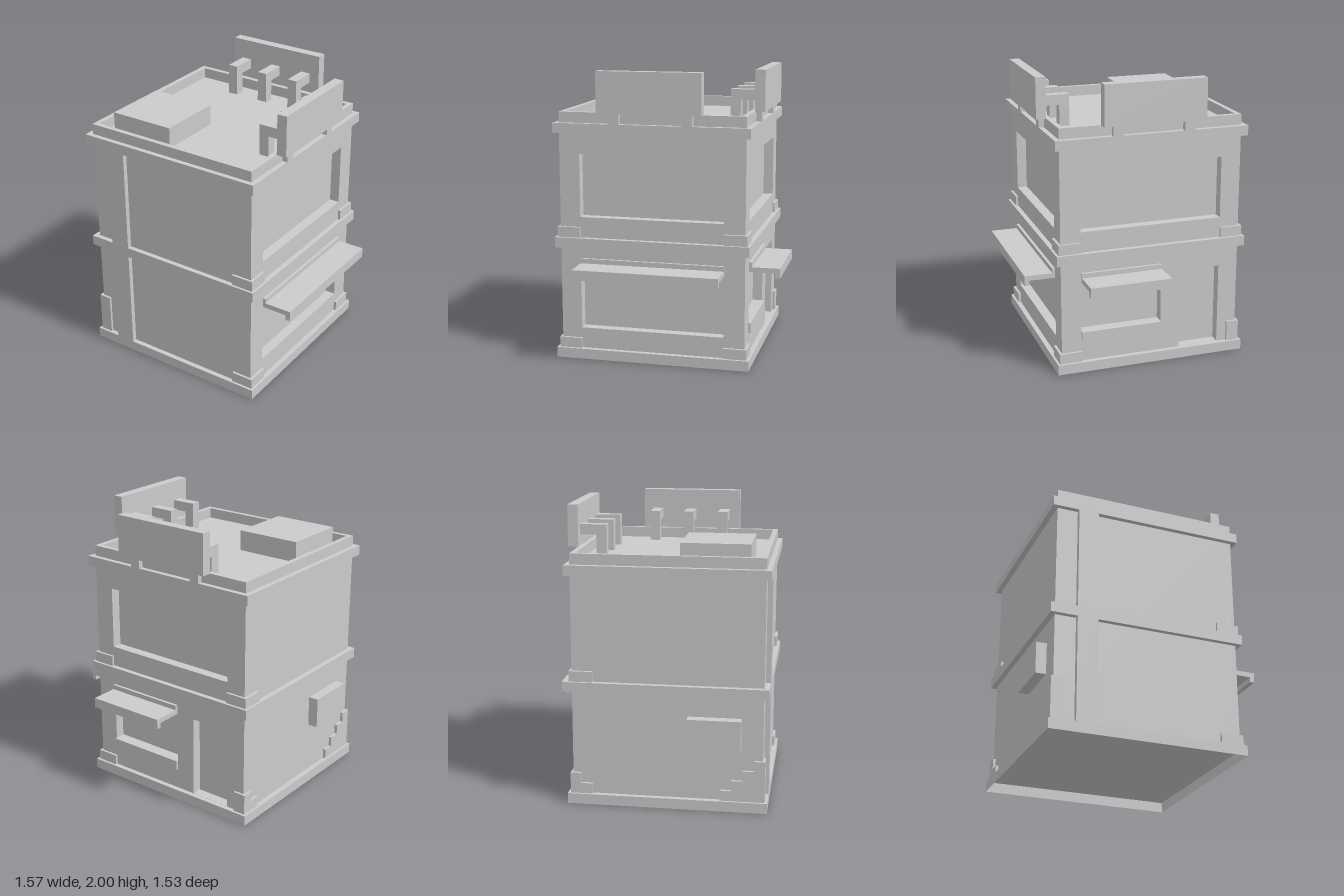
import * as THREE from 'three';

const material = new THREE.MeshStandardMaterial({ color: 0xcccccc, flatShading: true });
const openMaterial = new THREE.MeshStandardMaterial({ color: 0xcccccc, flatShading: true, side: THREE.DoubleSide });

function addMesh(parent, name, geometry) {
  const mesh = new THREE.Mesh(geometry, material);
  mesh.name = name;
  parent.add(mesh);
  return mesh;
}

// Box given by its minimum and maximum along each axis
function addBox(parent, name, x0, x1, y0, y1, z0, z1) {
  const mesh = addMesh(parent, name, new THREE.BoxGeometry(x1 - x0, y1 - y0, z1 - z0));
  mesh.position.set((x0 + x1) / 2, (y0 + y1) / 2, (z0 + z1) / 2);
  return mesh;
}

const rect = (Type, x0, x1, y0, y1) => new Type([
  new THREE.Vector2(x0, y0), new THREE.Vector2(x1, y0),
  new THREE.Vector2(x1, y1), new THREE.Vector2(x0, y1),
]);

// Rectangular plate with rectangular holes, extruded along z
function plate(outline, holes, depth) {
  const shape = rect(THREE.Shape, ...outline);
  shape.holes = holes.map((h) => rect(THREE.Path, ...h));
  return new THREE.ExtrudeGeometry(shape, { depth, bevelEnabled: false });
}

// Awning: local +x points away from the wall, length runs along z
function addAwning(parent, name, length) {
  const points = [[0, 0.645], [0.18, 0.645], [0.18, 0.61], [0.213, 0.61],
    [0.213, 0.68], [0.02, 0.68], [0.02, 0.713], [0, 0.713]];
  const shape = new THREE.Shape(points.map((p) => new THREE.Vector2(...p)));
  return addMesh(parent, name, new THREE.ExtrudeGeometry(shape, { depth: length, bevelEnabled: false }));
}

// Blank sign board with roof brackets: local +x points outward, z runs along the wall
function makeSign(name) {
  const sign = new THREE.Group();
  sign.name = name;
  addBox(sign, 'signBoard', 0, 0.07, 1.718, 2, 0, 0.715);
  [0.07, 0.32, 0.57].forEach((z, i) => {
    addBox(sign, 'signArm', -0.18, 0, 1.79, 1.86, z, z + 0.07);
    addBox(sign, 'signPost', -0.18, -0.11, 1.64, 1.79, z, z + 0.07);
    if (i !== 1) addBox(sign, 'signSupport', -0.01, 0.035, 1.645, 1.718, z, z + 0.07);
  });
  return sign;
}

export function createModel() {
  const model = new THREE.Group();
  model.name = 'cornerBuilding';

  // Solid core, with thick pierced walls on the two street sides
  addBox(model, 'wallCore', -0.713, 0.5, 0.07, 1.61, -0.483, 0.733);
  const rightWall = addMesh(model, 'rightWall', plate([-0.733, 0.483, 0.07, 1.61], [
    [-0.592, 0.408, 1.0, 1.433],
    [-0.592, 0.408, 0.215, 0.645],
  ], 0.07));
  rightWall.rotation.y = Math.PI / 2;
  rightWall.position.x = 0.5;
  const backWall = addMesh(model, 'backWall', plate([-0.57, 0.713, 0.07, 1.61], [
    [-0.428, 0.575, 1.0, 1.433],
    [-0.428, 0.145, 0.285, 0.645],
    [0.285, 0.575, 0.072, 0.645],
  ], 0.07));
  backWall.rotation.y = Math.PI;
  backWall.position.z = -0.483;

  // Base band is a hollow tray, open underneath: drop the box's bottom face
  const base = addBox(model, 'baseBand', -0.75, 0.605, 0, 0.071, -0.588, 0.767);
  const faces = Array.from(base.geometry.index.array);
  faces.splice(18, 6);
  base.geometry.setIndex(faces);
  base.material = openMaterial;

  // Upper bands and the front pilaster
  addBox(model, 'middleBand', -0.75, 0.605, 0.787, 0.858, -0.588, 0.767);
  addBox(model, 'topBand', -0.75, 0.605, 1.576, 1.645, -0.588, 0.767);
  addBox(model, 'pilaster', -0.57, -0.43, 0.071, 0.787, 0.73, 0.767);
  addBox(model, 'pilaster', -0.57, -0.43, 0.858, 1.576, 0.73, 0.767);

  // Roof parapet and roof box
  const parapet = addMesh(model, 'parapet',
    plate([-0.713, 0.57, -0.733, 0.553], [[-0.678, 0.535, -0.698, 0.518]], 0.076));
  parapet.rotation.x = -Math.PI / 2;
  parapet.position.y = 1.642;
  addBox(model, 'roofBox', -0.61, -0.145, 1.64, 1.788, 0.16, 0.624);

  // Corner blocks above the bands
  for (const y of [0.071, 0.858]) {
    const top = y + 0.072;
    addBox(model, 'cornerBlock', 0.43, 0.588, y, top, 0.73, 0.75);
    addBox(model, 'cornerBlock', 0.565, 0.588, y, top, 0.592, 0.73);
    addBox(model, 'cornerBlock', 0.43, 0.588, y, top, -0.57, -0.55);
    addBox(model, 'cornerBlock', 0.565, 0.588, y, top, -0.55, -0.41);
  }
  addBox(model, 'cornerBlock', -0.733, -0.575, 0.858, 0.93, -0.57, -0.55);
  addBox(model, 'cornerBlock', -0.733, -0.71, 0.858, 0.93, -0.55, -0.41);

  // Stepped corner blocks on the left side
  addBox(model, 'frontCornerPlate', -0.733, -0.645, 0.071, 0.357, 0.73, 0.75);
  for (let i = 0; i < 4; i++) {
    const z1 = i === 0 ? 0.73 : 0.75 - i * 0.075;
    addBox(model, 'frontCornerStep', -0.733, -0.71, 0.071, 0.357 - i * 0.0715, 0.675 - i * 0.075, z1);
  }
  addBox(model, 'backCornerPlate', -0.733, -0.645, 0.071, 0.215, -0.57, -0.55);
  addBox(model, 'backCornerStep', -0.733, -0.71, 0.071, 0.215, -0.55, -0.495);
  addBox(model, 'backCornerStep', -0.733, -0.71, 0.071, 0.143, -0.495, -0.42);

  // Wall unit and window sill
  addBox(model, 'wallUnit', -0.784, -0.71, 0.43, 0.645, 0.23, 0.588);
  addBox(model, 'windowSill', -0.145, 0.428, 0.215, 0.285, -0.57, -0.55);

  // Awnings
  addAwning(model, 'rightAwning', 1.0).position.set(0.57, 0, -0.412);
  const backAwning = addAwning(model, 'backAwning', 0.572);
  backAwning.rotation.y = Math.PI / 2;
  backAwning.position.set(-0.145, 0, -0.553);

  // Roof signs
  const rightSign = makeSign('rightSign');
  rightSign.position.set(0.572, 0, -0.268);
  const backSign = makeSign('backSign');
  backSign.rotation.y = Math.PI / 2;
  backSign.position.set(-0.43, 0, -0.556);
  model.add(rightSign, backSign);

  return model;
}
